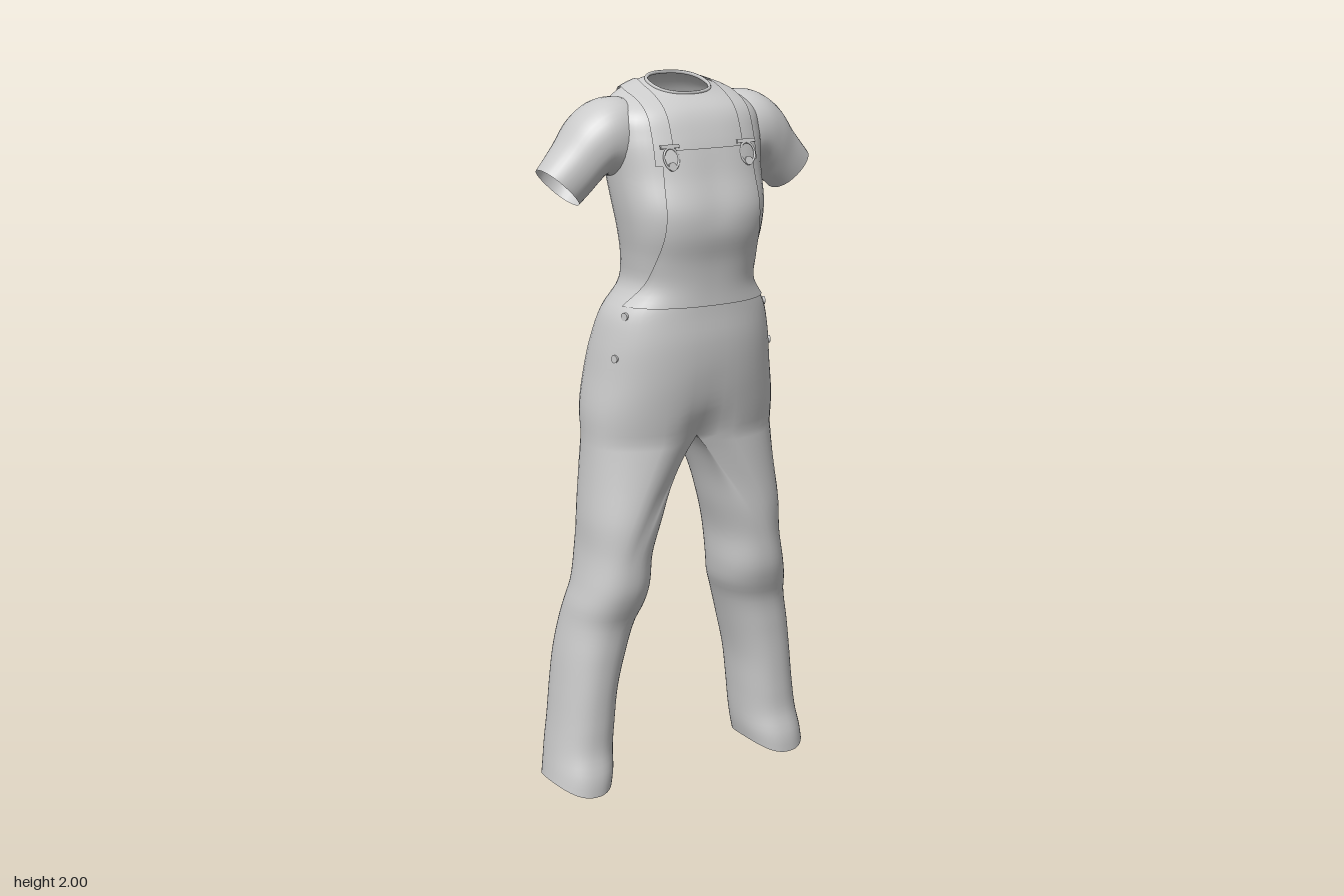
import * as THREE from 'three';
import { mergeGeometries, mergeVertices } from 'three/addons/utils/BufferGeometryUtils.js';

const cloth = new THREE.MeshStandardMaterial({ color: 0xcccccc, side: THREE.DoubleSide });
const SEG = 48;
const CROTCH = 1.02;
const NECK = 1.98;

// Smooth interpolation through rows whose first entry is the height
function profile(rows) {
  const n = rows[0].length - 1;
  const spline = new THREE.CubicInterpolant(rows.map(r => r[0]), rows.flatMap(r => r.slice(1)), n, new Float32Array(n));
  return t => Array.from(spline.evaluate(t));
}

// height, half width, front z, back z, front dimple, back dimple, roundness, tilt
const bodyAt = profile([
  [1.02, 0.285, 0.132, -0.185, 0.35, 0.5, 0.85, 0],
  [1.1, 0.285, 0.147, -0.202, 0.1, 0.27, 0.85, 0],
  [1.2, 0.27, 0.163, -0.207, 0.02, 0.12, 0.85, 0],
  [1.3, 0.254, 0.17, -0.184, 0, 0.07, 0.85, 0],
  [1.38, 0.232, 0.167, -0.152, 0, 0.04, 0.85, 0],
  [1.45, 0.186, 0.168, -0.124, 0, 0.04, 0.83, 0],
  [1.52, 0.186, 0.176, -0.105, 0, 0.06, 0.8, 0],
  [1.6, 0.198, 0.194, -0.106, 0, 0.08, 0.78, 0],
  [1.66, 0.207, 0.195, -0.12, 0.02, 0.08, 0.78, 0],
  [1.75, 0.216, 0.168, -0.143, 0.02, 0.06, 0.8, 0],
  [1.85, 0.225, 0.138, -0.15, 0, 0.03, 0.8, 0],
  [1.92, 0.21, 0.11, -0.143, 0, 0, 0.8, 0.08],
  [1.955, 0.16, 0.087, -0.125, 0, 0, 0.82, 0.2],
  [1.98, 0.085, 0.055, -0.09, 0, 0, 0.85, 0.3],
]);

// height, outer x, inner x, front z, back z
const legAt = profile([
  [0.02, 0.41, 0.235, 0.08, -0.165],
  [0.06, 0.405, 0.228, 0.078, -0.168],
  [0.12, 0.397, 0.222, 0.062, -0.17],
  [0.2, 0.386, 0.215, 0.06, -0.171],
  [0.3, 0.375, 0.204, 0.062, -0.174],
  [0.4, 0.363, 0.18, 0.066, -0.174],
  [0.5, 0.345, 0.15, 0.075, -0.164],
  [0.55, 0.337, 0.13, 0.093, -0.152],
  [0.6, 0.324, 0.121, 0.107, -0.143],
  [0.7, 0.306, 0.113, 0.113, -0.15],
  [0.8, 0.302, 0.087, 0.124, -0.147],
  [0.9, 0.293, 0.06, 0.127, -0.16],
  [0.98, 0.287, 0.027, 0.13, -0.177],
  [1.02, 0.285, 0, 0.132, -0.185],
]);

const spow = (v, e) => Math.sign(v) * Math.abs(v) ** e;

// Grid surface: u runs around, v runs up
function grid(fn, nu, nv) {
  const pos = [], index = [], w = nu + 1;
  for (let j = 0; j <= nv; j++) for (let i = 0; i <= nu; i++) pos.push(...fn(i / nu, j / nv));
  for (let j = 0; j < nv; j++) for (let i = 0; i < nu; i++) {
    const a = j * w + i, c = a + w;
    index.push(a, c, a + 1, a + 1, c, c + 1);
  }
  const g = new THREE.BufferGeometry();
  g.setAttribute('position', new THREE.Float32BufferAttribute(pos, 3));
  g.setIndex(index);
  return g;
}

function smooth(...parts) {
  const g = mergeVertices(mergeGeometries(parts), 1e-4);
  g.computeVertexNormals();
  return g;
}

function bodyPoint(t, a) {
  const [hw, zf, zb, df, db, e, tilt] = bodyAt(t);
  const s = Math.sin(a), x = hw * spow(Math.cos(a), e);
  let z = (zf + zb) / 2 + (zf - zb) / 2 * spow(s, e);
  z *= 1 - (s > 0 ? df : db) * Math.abs(s) * Math.exp(-((x / 0.055) ** 2));
  return [x, t - tilt * (z + 0.02), z];
}

// Point lying just above the garment at a given x and height
function onBody(x, t, side, off) {
  const [hw, , , , , e] = bodyAt(t);
  const c = THREE.MathUtils.clamp(spow(x / hw, 1 / e), -1, 1);
  const p = new THREE.Vector3(...bodyPoint(t, side * Math.acos(c)));
  const out = p.clone().sub(new THREE.Vector3(x * 0.5, Math.min(t, 1.8), -0.02)).normalize();
  return p.addScaledVector(out, off);
}

// Legs blend from half of the hip section into an oval tube
function legPoint(s, u, v) {
  const y = 0.02 + (CROTCH - 0.02) * v, a = s * u * Math.PI * 2;
  const [xo, xi, zf, zb] = legAt(y);
  const c = Math.cos(a), sn = Math.sin(a);
  const k = 1 - THREE.MathUtils.smoothstep(y, 0.66, CROTCH);
  const ex = (xo + xi) / 2 + (xo - xi) / 2 * spow(c, 0.88);
  const ez = (zf + zb) / 2 + (zf - zb) / 2 * spow(sn, 0.88);
  const front = bodyPoint(CROTCH, Math.PI / 2)[2], back = bodyPoint(CROTCH, -Math.PI / 2)[2];
  const [hx, , hz] = c > -1e-9 ? bodyPoint(CROTCH, a) : [0, 0, back + (front - back) * (sn + 1) / 2];
  const dx = xi + (xo - xi) * hx / 0.285;
  const hem = 0.014 * Math.cos(2 * a) * Math.max(0, 1 - v * 12);
  return [s * (dx + (ex - dx) * k), y + hem, hz + (ez - hz) * k];
}

// step, top x, top y, bottom x, bottom y, front z, back z
const sleeveAt = profile([
  [0, 0.12, 1.935, 0.13, 1.72, 0.05, -0.115],
  [1, 0.19, 1.951, 0.19, 1.735, 0.072, -0.132],
  [2, 0.25, 1.941, 0.235, 1.745, 0.075, -0.135],
  [3, 0.31, 1.9, 0.262, 1.722, 0.066, -0.127],
  [4, 0.36, 1.835, 0.286, 1.695, 0.052, -0.112],
  [5, 0.415, 1.77, 0.312, 1.67, 0.04, -0.097],
]);

function sleevePoint(s, u, v) {
  const [tx, ty, bx, by, zf, zb] = sleeveAt(v * 5);
  const a = -s * u * Math.PI * 2, h = (1 + spow(Math.cos(a), 0.92)) / 2;
  return [s * (bx + (tx - bx) * h), by + (ty - by) * h, (zf + zb) / 2 + (zf - zb) / 2 * spow(Math.sin(a), 0.92)];
}

// Height at which the shoulder reaches a given x
function shoulderTop(x) {
  let lo = 1.88, hi = NECK;
  for (let i = 0; i < 24; i++) {
    const m = (lo + hi) / 2;
    if (bodyAt(m)[0] > x) lo = m; else hi = m;
  }
  return lo;
}

// Strap runs from the bib, over the shoulder and in towards the spine
function strapPoint(s, u, v) {
  const x = 0.105 + 0.05 * u - Math.max(0, v - 0.5) * 0.18;
  const end = v < 0.5 ? 1.78 : 1.62;
  const t = end + (shoulderTop(Math.max(x, 0.09)) - end) * Math.sin(Math.PI * v);
  return onBody(s * x, t, v < 0.5 ? 1 : -1, 0.005).toArray();
}

const bibWidth = profile([[1.4, 0.215], [1.45, 0.175], [1.52, 0.157], [1.6, 0.146], [1.7, 0.142], [1.82, 0.135]]);

export function createModel() {
  const model = new THREE.Group();
  const add = (name, geometry, parent = model) => {
    const m = new THREE.Mesh(geometry, cloth);
    m.name = name;
    parent.add(m);
    return m;
  };

  // Torso and trouser legs as one continuous skin
  const torso = grid((u, v) => bodyPoint(CROTCH + (NECK - CROTCH) * (1 - (1 - v) ** 1.5), u * Math.PI * 2), SEG, 60);
  const legs = [1, -1].map(s => grid((u, v) => legPoint(s, u, v), SEG, 56));
  add('torsoAndTrousers', smooth(torso, ...legs));

  // Raised bib panel on the chest
  add('bib', smooth(grid((u, v) => {
    const t = 1.4 + 0.42 * v, w = bibWidth(t)[0];
    return onBody(w * (1 - 2 * u), t, 1, 0.005).toArray();
  }, 32, 28)));

  // Neckline binding
  const neck = [];
  for (let i = 0; i < 32; i++) neck.push(new THREE.Vector3(...bodyPoint(NECK, i / 32 * Math.PI * 2)));
  add('collar', new THREE.TubeGeometry(new THREE.CatmullRomCurve3(neck, true), 64, 0.005, 6, true));

  for (const s of [1, -1]) {
    const side = s > 0 ? 'left' : 'right';
    add(side + 'Sleeve', smooth(grid((u, v) => sleevePoint(s, u, v), 32, 24)));
    add(side + 'Strap', smooth(grid((u, v) => strapPoint(s, u, v), 6, 48)));

    // Buckle: wire loop, slide bar and bib button
    const buckle = new THREE.Group();
    buckle.name = side + 'Buckle';
    buckle.position.copy(onBody(s * 0.115, 1.8, 1, 0.009));
    buckle.rotation.x = -0.3;
    const loop = add('buckleLoop', new THREE.TorusGeometry(0.022, 0.003, 6, 20), buckle);
    loop.scale.y = 1.3;
    add('buckleSlide', new THREE.BoxGeometry(0.056, 0.01, 0.006), buckle).position.y = 0.032;
    const button = add('bibButton', new THREE.CylinderGeometry(0.012, 0.012, 0.006, 14), buckle);
    button.rotation.x = Math.PI / 2;
    button.position.y = -0.022;
    model.add(buckle);

    // Hip buttons
    for (const y of [1.26, 1.375]) {
      const hip = add(side + 'HipButton', new THREE.CylinderGeometry(0.011, 0.011, 0.008, 12));
      hip.position.set(...bodyPoint(y, s > 0 ? 0.38 : Math.PI - 0.38));
      hip.rotation.set(0, -s * 0.35, Math.PI / 2);
    }
  }
  return model;
}
